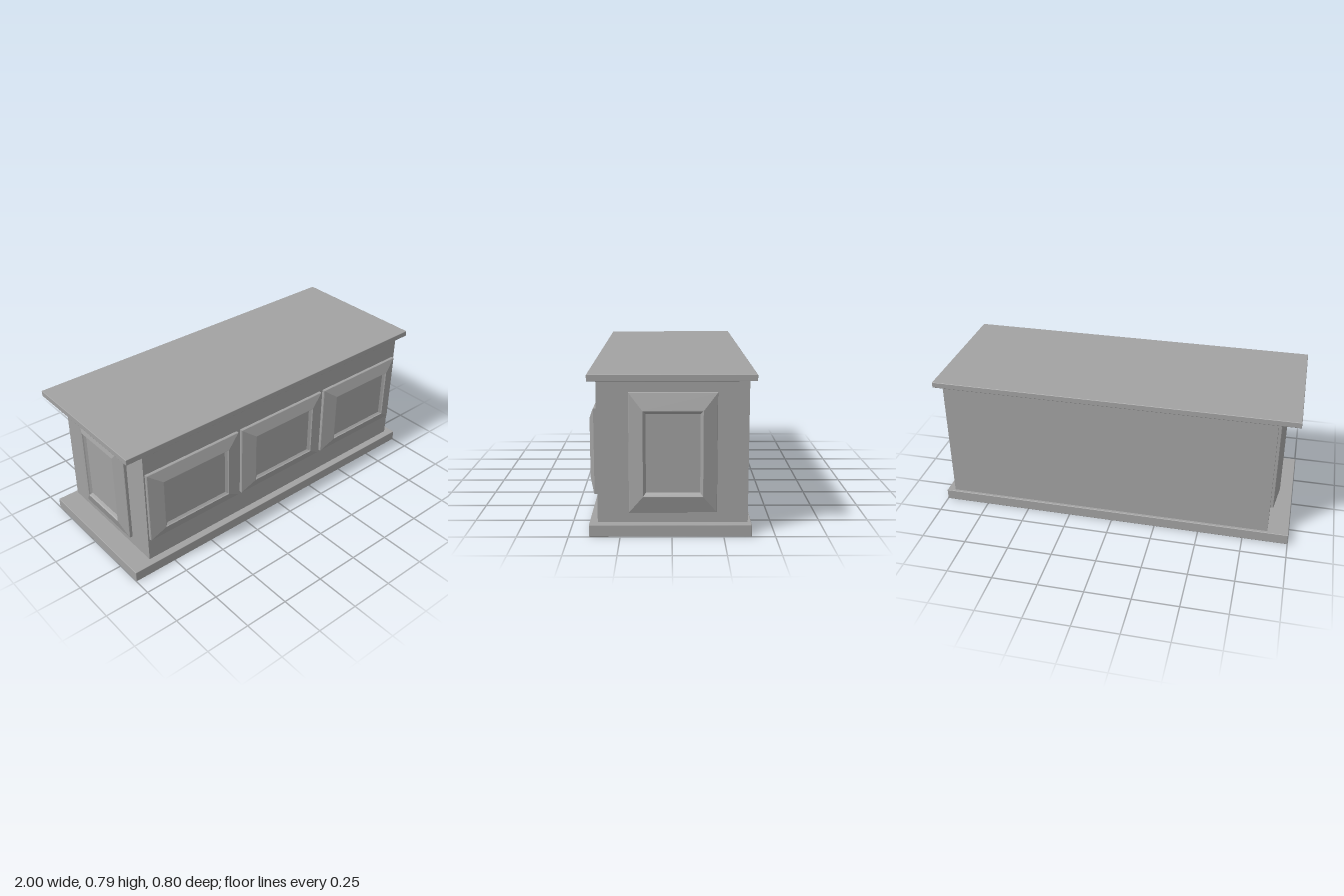
import * as THREE from 'three';
import { RoundedBoxGeometry } from 'three/addons/geometries/RoundedBoxGeometry.js';

const grey = new THREE.MeshStandardMaterial({ color: 0xa2a2a2 });
grey.name = 'grey paint';

// Box given by its extents, with slightly eased edges when radius > 0
function block(name, [x0, x1], [y0, y1], [z0, z1], radius = 0) {
  const size = [x1 - x0, y1 - y0, z1 - z0];
  const geometry = radius
    ? new RoundedBoxGeometry(...size, 2, radius)
    : new THREE.BoxGeometry(...size);
  const mesh = new THREE.Mesh(geometry, grey);
  mesh.name = name;
  mesh.position.set((x0 + x1) / 2, (y0 + y1) / 2, (z0 + z1) / 2);
  return mesh;
}

// Raised panel facing +z: nested rectangles joined by mitred strips
function panelGeometry(width, height, depth, marginX, marginY) {
  // [inset as a share of the margin, height as a share of the depth]
  const profile = [[0, -0.05], [0, 0.36], [0.03, 0.42], [0.97, 0.99], [1, 1], [1.05, 0.85], [1.2, 0.62]];
  const rings = profile.map(([inset, rise]) => {
    const x = width / 2 - inset * marginX;
    const y = height / 2 - inset * marginY;
    const z = rise * depth;
    return [[-x, -y, z], [x, -y, z], [x, y, z], [-x, y, z]];
  });
  const points = [];
  const quad = (a, b, c, d) => points.push(...a, ...b, ...c, ...a, ...c, ...d);
  for (let i = 0; i < rings.length - 1; i++) {
    for (let k = 0; k < 4; k++) {
      const n = (k + 1) % 4;
      quad(rings[i][k], rings[i][n], rings[i + 1][n], rings[i + 1][k]);
    }
  }
  quad(...rings[rings.length - 1]); // sunken centre field
  const geometry = new THREE.BufferGeometry();
  geometry.setAttribute('position', new THREE.Float32BufferAttribute(points, 3));
  geometry.computeVertexNormals();
  return geometry;
}

export function createModel() {
  const model = new THREE.Group();
  model.name = 'panelled counter';

  // Plinth, carcass and top slab
  model.add(
    block('base', [-1, 1], [0, 0.06], [-0.385, 0.4], 0.003),
    block('body', [-0.885, 0.955], [0.055, 0.762], [-0.368, 0.36]),
    block('top', [-1, 1], [0.758, 0.79], [-0.4, 0.4], 0.003),
  );

  // Three wide panels along the front
  const frontGeometry = panelGeometry(0.59, 0.42, 0.04, 0.085, 0.063);
  for (let i = 0; i < 3; i++) {
    const panel = new THREE.Mesh(frontGeometry, grey);
    panel.name = `frontPanel${i + 1}`;
    panel.position.set(-0.582 + i * 0.6135, 0.408, 0.36);
    model.add(panel);
  }

  // One tall panel on each end
  const endGeometry = panelGeometry(0.424, 0.587, 0.042, 0.0685, 0.085);
  for (const [name, x, turn] of [['leftPanel', 0.955, 1], ['rightPanel', -0.885, -1]]) {
    const panel = new THREE.Mesh(endGeometry, grey);
    panel.name = name;
    panel.position.set(x, 0.4075, -0.005);
    panel.rotation.y = turn * Math.PI / 2;
    model.add(panel);
  }
  return model;
}
